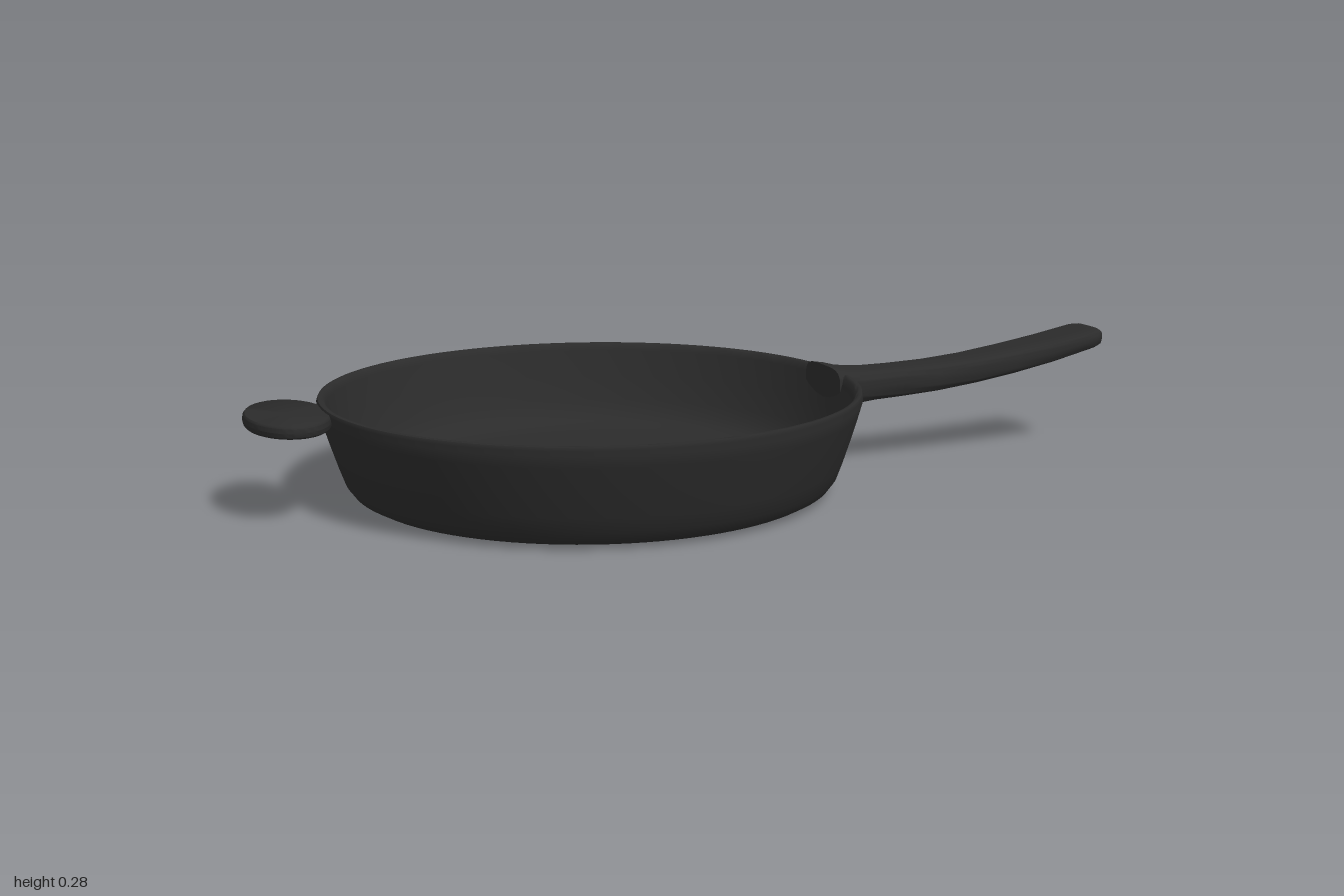
import * as THREE from 'three';
import { toCreasedNormals } from 'three/addons/utils/BufferGeometryUtils.js';

const castIron = new THREE.MeshStandardMaterial({ color: 0x2b2b2b });
castIron.name = 'castIron';

function part(name, geometry) {
  const mesh = new THREE.Mesh(geometry, castIron);
  mesh.name = name;
  return mesh;
}

// Closed loft along +x through rounded-rectangle sections [x, halfWidth, yLow, yHigh]
function loftAlongX(sections, sides, power) {
  const pos = [], index = [];
  const round = (v) => Math.sign(v) * Math.abs(v) ** power;
  for (const [x, w, lo, hi] of sections) {
    for (let i = 0; i < sides; i++) {
      const a = (i / sides) * Math.PI * 2;
      pos.push(x, (lo + hi) / 2 + round(Math.sin(a)) * (hi - lo) / 2, round(Math.cos(a)) * w);
    }
  }
  const last = (sections.length - 1) * sides;
  for (let s = 0; s < last; s += sides) {
    for (let i = 0; i < sides; i++) {
      const j = (i + 1) % sides;
      index.push(s + i, s + sides + i, s + j, s + j, s + sides + i, s + sides + j);
    }
  }
  // end caps
  for (const [s, flip] of [[0, false], [last, true]]) {
    for (let i = 1; i < sides - 1; i++) {
      index.push(s, ...(flip ? [s + i + 1, s + i] : [s + i, s + i + 1]));
    }
  }
  const g = new THREE.BufferGeometry();
  g.setAttribute('position', new THREE.Float32BufferAttribute(pos, 3));
  g.setIndex(index);
  // orient the faces outward
  const p = g.attributes.position;
  const v = [0, 1, 2].map(() => new THREE.Vector3());
  let volume = 0;
  for (let k = 0; k < index.length; k += 3) {
    v.forEach((q, n) => q.fromBufferAttribute(p, index[k + n]));
    volume += v[0].dot(v[1].clone().cross(v[2]));
  }
  if (volume < 0) g.setIndex(index.reverse());
  return toCreasedNormals(g, 0.8);
}

export function createModel() {
  const model = new THREE.Group();
  model.name = 'fryingPan';

  // Bowl: outside from the base centre up, over the rim, then down the inside
  const profile = [
    [0, 0], [0.46, 0.001], [0.495, 0.006], [0.515, 0.017], [0.53, 0.037], [0.542, 0.07],
    [0.56, 0.125], [0.575, 0.175], [0.582, 0.2], [0.583, 0.21], [0.58, 0.217], [0.573, 0.218],
    [0.567, 0.214], [0.563, 0.2], [0.545, 0.14], [0.525, 0.085], [0.51, 0.057], [0.49, 0.039],
    [0.465, 0.03], [0.42, 0.027], [0, 0.027],
  ].map(([r, y]) => new THREE.Vector2(r, y));
  const bowl = part('bowl', toCreasedNormals(new THREE.LatheGeometry(profile, 96), 0.9));
  bowl.position.x = -0.26;
  model.add(bowl);

  // Long handle, flared at the pan and rounded at the tip
  model.add(part('handle', loftAlongX([
    [0.29, 0.09, 0.133, 0.23], [0.315, 0.088, 0.137, 0.226], [0.335, 0.077, 0.14, 0.221],
    [0.36, 0.068, 0.143, 0.218], [0.4, 0.06, 0.146, 0.216], [0.47, 0.057, 0.149, 0.217],
    [0.56, 0.058, 0.155, 0.22], [0.66, 0.06, 0.167, 0.228], [0.76, 0.063, 0.183, 0.241],
    [0.86, 0.066, 0.203, 0.256], [0.94, 0.068, 0.223, 0.27], [0.97, 0.067, 0.23, 0.276],
    [0.988, 0.06, 0.236, 0.277], [0.997, 0.049, 0.243, 0.272], [1, 0.035, 0.25, 0.265],
  ], 40, 0.5)));

  // Oval helper handle opposite, a thin disc with softened edges
  const disc = [[0, -0.013], [0.94, -0.013], [0.98, -0.009], [1, 0], [0.98, 0.009], [0.94, 0.013], [0, 0.013]]
    .map(([r, y]) => new THREE.Vector2(r, y));
  const oval = new THREE.LatheGeometry(disc, 56);
  oval.scale(0.087, 1, 0.151);
  const helper = part('helperHandle', toCreasedNormals(oval, 0.8));
  helper.position.set(-0.913, 0.2, 0);
  model.add(helper);

  return model;
}
